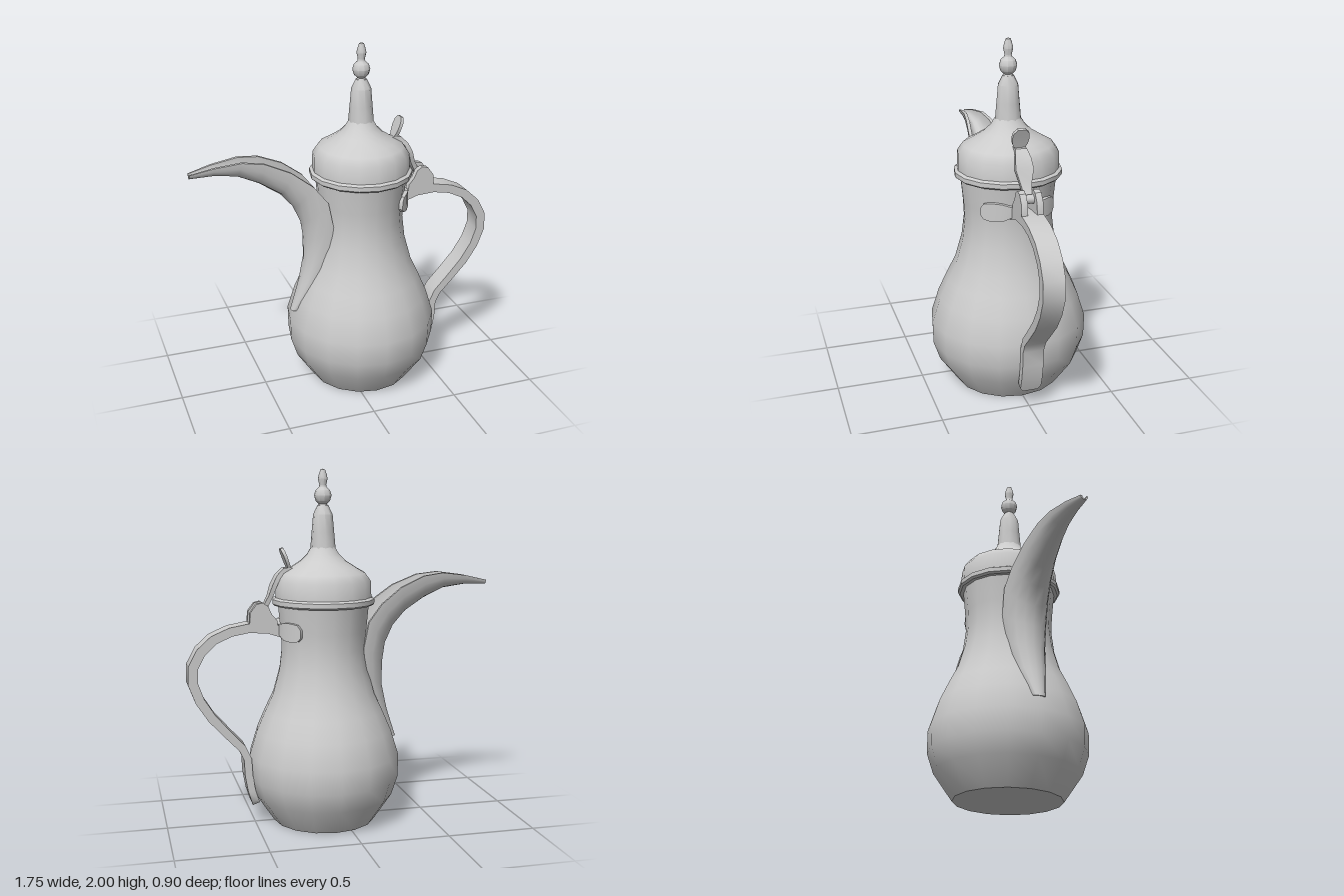
import * as THREE from 'three';
import { toCreasedNormals } from 'three/addons/utils/BufferGeometryUtils.js';

const AXIS = 0.095; // x of the pot's turning axis
const material = new THREE.MeshStandardMaterial({ color: 0xcccccc, side: THREE.DoubleSide });

function part(name, geometry, crease = 0.7) {
  const mesh = new THREE.Mesh(toCreasedNormals(geometry, crease), material);
  mesh.name = name;
  return mesh;
}

// Turned part, slightly narrower along x
function turned(name, profile, segments) {
  const points = profile.map(([r, y]) => new THREE.Vector2(r, y));
  const geometry = new THREE.LatheGeometry(points, segments);
  geometry.scale(0.96, 1, 1).translate(AXIS, 0, 0);
  return part(name, geometry);
}

// Skin over closed cross-sections with capped ends, turned to face outward
function loft(sections) {
  const tris = [];
  const n = sections[0].length;
  for (let i = 0; i < sections.length - 1; i++) {
    for (let j = 0; j < n; j++) {
      const k = (j + 1) % n;
      const [a, b, c, d] = [sections[i][j], sections[i][k], sections[i + 1][k], sections[i + 1][j]];
      tris.push([a, b, c], [a, c, d]);
    }
  }
  const first = sections[0], last = sections[sections.length - 1];
  const flat = (s) => THREE.ShapeUtils.triangulateShape(flatten(s), []);
  const area = (s, t) => THREE.ShapeUtils.area(t.map((i) => flatten(s)[i]));
  for (const [s, end] of [[first, false], [last, true]]) {
    const sign = Math.sign(THREE.ShapeUtils.area(flatten(s)));
    for (const t of flat(s)) {
      const forward = Math.sign(area(s, t)) === sign;
      const [a, b, c] = t.map((i) => s[i]);
      tris.push(forward === end ? [a, b, c] : [a, c, b]);
    }
  }
  let volume = 0;
  for (const [a, b, c] of tris) volume += a.dot(b.clone().cross(c));
  const ordered = tris.flatMap(([a, b, c]) => (volume < 0 ? [a, c, b] : [a, b, c]));
  return new THREE.BufferGeometry().setFromPoints(ordered);
}

// Project a planar section to 2D
function flatten(s) {
  const normal = new THREE.Vector3();
  s.forEach((p, i) => normal.add(p.clone().sub(s[0]).cross(s[(i + 1) % s.length].clone().sub(s[0]))));
  normal.normalize();
  const u = s[1].clone().sub(s[0]).normalize();
  const v = normal.clone().cross(u);
  return s.map((p) => new THREE.Vector2(p.dot(u), p.dot(v)));
}

// Flat strip along a path in the xy plane; rows are [x, y, half width, thickness]
function strip(rows) {
  return loft(rows.map(([x, y, w, t], i) => {
    const a = rows[Math.max(i - 1, 0)], b = rows[Math.min(i + 1, rows.length - 1)];
    const len = Math.hypot(b[0] - a[0], b[1] - a[1]);
    const nx = -(b[1] - a[1]) / len * t / 2, ny = (b[0] - a[0]) / len * t / 2;
    return [[1, 1], [1, -1], [-1, -1], [-1, 1]].map(
      ([s, q]) => new THREE.Vector3(x + nx * s, y + ny * s, w * q));
  }));
}

// Open trough; rows are [rim x, rim y, keel x, keel y, half width]
function spoutGeometry() {
  const rows = [
    [-0.88, 1.365, -0.88, 1.34, 0.022], [-0.75, 1.395, -0.75, 1.343, 0.043],
    [-0.6, 1.415, -0.62, 1.325, 0.063], [-0.48, 1.4, -0.5, 1.27, 0.08],
    [-0.34, 1.34, -0.38, 1.19, 0.1], [-0.22, 1.25, -0.31, 1.11, 0.118],
    [-0.14, 1.15, -0.265, 1.01, 0.13], [-0.11, 1.0, -0.25, 0.9, 0.128],
    [-0.13, 0.83, -0.25, 0.77, 0.112], [-0.2, 0.65, -0.28, 0.63, 0.085],
    [-0.31, 0.465, -0.335, 0.46, 0.035],
  ];
  const steps = 8;
  return loft(rows.map(([ex, ey, kx, ky, w]) => {
    const depth = Math.hypot(kx - ex, ky - ey);
    const wall = Math.min(0.02, w * 0.4, depth * 0.4);
    const section = [];
    const arc = (width, fraction, j) => {
      const a = Math.PI * j / steps;
      const d = Math.sin(a) * fraction;
      section.push(new THREE.Vector3(ex + (kx - ex) * d, ey + (ky - ey) * d, width * Math.cos(a)));
    };
    for (let j = 0; j <= steps; j++) arc(w, 1, j);
    for (let j = steps; j >= 0; j--) arc(w - wall, 1 - wall / depth, j);
    return section;
  }));
}

// Leaf-ended band hugging the neck; rows are [degrees, low y, high y]
function collarGeometry() {
  const half = [[50, 1.085, 1.13], [46, 1.065, 1.155], [36, 1.058, 1.162], [24, 1.062, 1.16], [13, 1.085, 1.145]];
  const rows = [...half, ...half.map(([a, lo, hi]) => [-a, lo, hi]).reverse()];
  return loft(rows.map(([deg, lo, hi]) => {
    const a = THREE.MathUtils.degToRad(deg);
    return [[0.235, lo], [0.272, lo], [0.272, hi], [0.235, hi]].map(
      ([r, y]) => new THREE.Vector3(AXIS + r * Math.cos(a), y, r * Math.sin(a)));
  }));
}

export function createModel() {
  const model = new THREE.Group();
  model.name = 'coffeePot';

  // Vessel and lid
  model.add(turned('body', [
    [0, 0], [0.305, 0], [0.41, 0.15], [0.447, 0.26], [0.45, 0.39], [0.405, 0.53], [0.355, 0.64],
    [0.305, 0.74], [0.265, 0.88], [0.25, 1.0], [0.255, 1.1], [0.27, 1.25], [0, 1.25],
  ], 16));
  model.add(turned('lidRim', [[0, 1.245], [0.29, 1.245], [0.302, 1.255], [0.302, 1.28], [0.285, 1.29], [0, 1.29]], 16));
  model.add(turned('lid', [
    [0.285, 1.28], [0.282, 1.38], [0.25, 1.425], [0.2, 1.452], [0.135, 1.492], [0.095, 1.53], [0.07, 1.57],
  ], 16));

  // Spire and finial
  model.add(turned('spire', [[0.074, 1.56], [0.066, 1.65], [0.057, 1.75], [0.032, 1.8], [0, 1.802]], 10));
  model.add(turned('finial', [
    [0.03, 1.795], [0.024, 1.808], [0.042, 1.825], [0.051, 1.855], [0.042, 1.883], [0.022, 1.9],
    [0.02, 1.912], [0.028, 1.945], [0.024, 1.965], [0.014, 1.995], [0, 2],
  ], 10));

  model.add(part('spout', spoutGeometry()));

  // Handle with its band round the neck
  model.add(part('handle', strip([
    [0.32, 1.1, 0.06, 0.07], [0.42, 1.123, 0.06, 0.05], [0.53, 1.13, 0.06, 0.05], [0.63, 1.112, 0.06, 0.05],
    [0.725, 1.07, 0.06, 0.052], [0.795, 1.005, 0.06, 0.054], [0.84, 0.92, 0.06, 0.056],
    [0.842, 0.83, 0.06, 0.055], [0.805, 0.73, 0.06, 0.052], [0.74, 0.63, 0.06, 0.05],
    [0.65, 0.53, 0.06, 0.046], [0.575, 0.45, 0.06, 0.044], [0.545, 0.385, 0.06, 0.044],
    [0.54, 0.29, 0.06, 0.044], [0.525, 0.2, 0.06, 0.042], [0.506, 0.14, 0.06, 0.042], [0.498, 0.118, 0.042, 0.042],
  ])));
  model.add(part('neckBand', collarGeometry()));

  // Hinge ears on either side of the lid tongue
  const ear = new THREE.Shape([
    [0.36, 1.09], [0.45, 1.11], [0.525, 1.14], [0.52, 1.215], [0.485, 1.262], [0.45, 1.27], [0.42, 1.25],
    [0.4, 1.205], [0.37, 1.17],
  ].map(([x, y]) => new THREE.Vector2(x, y)));
  for (const z of [-0.06, 0.025]) {
    const geometry = new THREE.ExtrudeGeometry(ear, { depth: 0.035, bevelEnabled: false });
    model.add(part('hingeEar', geometry.translate(0, 0, z)));
  }
  const pin = new THREE.CylinderGeometry(0.025, 0.025, 0.1, 10);
  model.add(part('hingePin', pin.rotateX(Math.PI / 2).translate(0.455, 1.22, 0)));

  // Lid tongue and thumb piece
  model.add(part('lidTongue', strip([
    [0.27, 1.445, 0.03, 0.025], [0.32, 1.445, 0.032, 0.025], [0.355, 1.41, 0.043, 0.025],
    [0.38, 1.36, 0.05, 0.025], [0.4, 1.3, 0.034, 0.025], [0.43, 1.24, 0.022, 0.025], [0.46, 1.2, 0.022, 0.025],
  ])));
  model.add(part('thumbPiece', strip([
    [0.29, 1.45, 0.026, 0.02], [0.302, 1.482, 0.042, 0.018], [0.314, 1.515, 0.048, 0.018],
    [0.326, 1.545, 0.042, 0.018], [0.334, 1.565, 0.022, 0.018],
  ])));

  return model;
}
